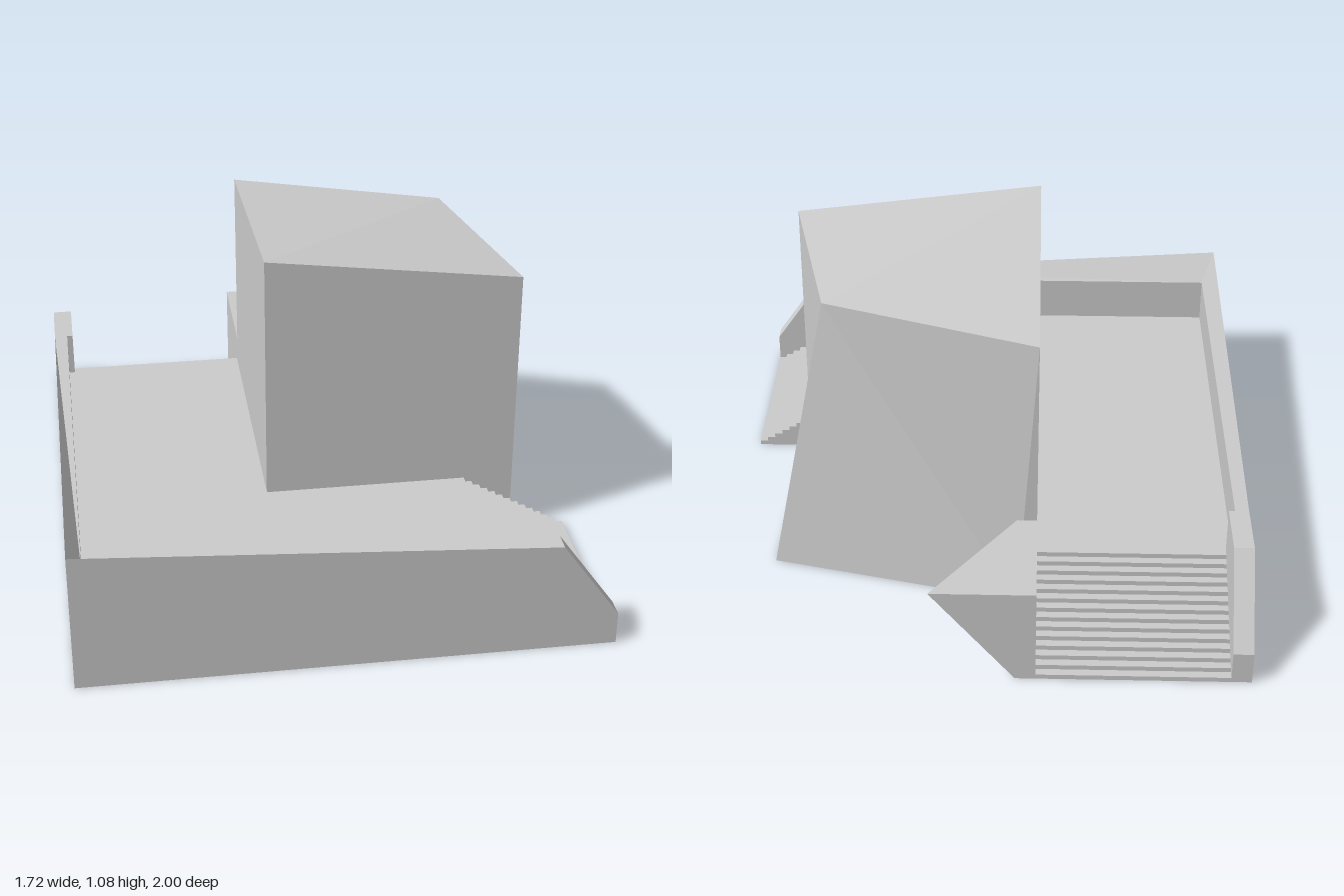
import * as THREE from 'three';

const material = new THREE.MeshStandardMaterial({ color: 0xcccccc, flatShading: true });

// Flat-sided solid from named corners and faces spelled as corner letters.
function facetedSolid(name, corners, faces) {
  const positions = [];
  for (const face of faces) {
    for (let i = 1; i < face.length - 1; i++) {
      for (const key of [face[0], face[i], face[i + 1]]) positions.push(...corners[key]);
    }
  }
  const geometry = new THREE.BufferGeometry();
  geometry.setAttribute('position', new THREE.Float32BufferAttribute(positions, 3));
  geometry.computeVertexNormals();
  const mesh = new THREE.Mesh(geometry, material);
  mesh.name = name;
  return mesh;
}

// Side profile in x/y extruded from z0 to z1.
function prism(name, points, z0, z1) {
  const shape = new THREE.Shape(points.map(([x, y]) => new THREE.Vector2(x, y)));
  const geometry = new THREE.ExtrudeGeometry(shape, { depth: z1 - z0, bevelEnabled: false });
  geometry.translate(0, 0, z0);
  const mesh = new THREE.Mesh(geometry, material);
  mesh.name = name;
  return mesh;
}

// Stepped profile descending along +x from the platform height.
function stairProfile(start, end, height, steps) {
  const points = [[start, 0], [end, 0]];
  const run = (end - start) / steps;
  for (let i = 0; i < steps; i++) {
    const y = (height * (i + 1)) / steps;
    points.push([end - i * run, y], [end - (i + 1) * run, y]);
  }
  return points;
}

// Parapet end that slopes down beside a stair.
const wingProfile = (start, knee, end) =>
  [[start, 0], [end, 0], [end, 0.11], [knee, 0.38], [start, 0.38]];

export function createModel() {
  const model = new THREE.Group();
  const deck = 0.225;

  // Raised platform (outline in x and -z, extruded upward)
  const platform = prism('platform', [
    [-0.815, -0.935], [0.47, -0.935], [0.47, -0.32], [-0.18, -0.32], [-0.18, 0.61], [-0.815, 0.61],
  ], 0, deck);
  platform.rotation.x = -Math.PI / 2;
  model.add(platform);

  // Parapet along the front and the side, rising to the shared corner
  model.add(facetedSolid('parapet', {
    A: [-0.86, 0.48, 1], a: [-0.86, 0, 1],
    B: [-0.86, 0.38, -0.61], b: [-0.86, 0, -0.61],
    C: [-0.815, 0.38, 0.935], c: [-0.815, 0, 0.935],
    D: [-0.815, 0.38, -0.61], d: [-0.815, 0, -0.61],
    E: [0.665, 0.38, 1], e: [0.665, 0, 1],
    F: [0.665, 0.38, 0.935], f: [0.665, 0, 0.935],
  }, ['baAB', 'aeEA', 'ACB', 'BCD', 'AEC', 'CEF', 'cdDC', 'fcCF', 'dbBD', 'abdc', 'acfe']));

  // Front stair, descending to the side, with its parapet end
  model.add(prism('frontStair', stairProfile(0.47, 0.855, deck, 14), 0.32, 0.935));
  model.add(prism('frontParapetEnd', wingProfile(0.665, 0.665, 0.855), 0.935, 1));

  // Back stair and its parapet end, turned to descend toward the rear
  const backStair = new THREE.Group();
  backStair.name = 'backStairGroup';
  backStair.rotation.y = Math.PI / 2;
  backStair.add(prism('backStair', stairProfile(0.61, 1, deck, 14), -0.795, -0.18));
  backStair.add(prism('backParapetEnd', wingProfile(0.61, 0.81, 1), -0.86, -0.795));
  model.add(backStair);

  // Tower with a tilted roof and a leaning rear corner
  model.add(facetedSolid('tower', {
    A: [-0.18, 1.083, 0.318], a: [-0.18, 0, 0.318],
    B: [0.665, 0.975, 0.318], b: [0.665, 0, 0.318],
    C: [0.518, 0.975, -0.343], c: [0.71, 0, -0.403],
    D: [-0.18, 0.975, -0.605], d: [-0.18, 0, -0.605],
    e: [-0.115, 0, -0.605],
  }, ['abBA', 'bCB', 'bcC', 'ceC', 'eDC', 'edD', 'daAD', 'ABC', 'ACD', 'adecb']));

  // Flaring buttress beside the back stair
  const top = 0.327;
  model.add(facetedSolid('buttress', {
    P: [-0.18, top, -1], p: [-0.18, 0, -1],
    Q: [0.155, top, -1], q: [-0.115, 0, -1],
    R: [-0.115, top, -0.605], r: [-0.115, 0, -0.605],
    S: [-0.18, top, -0.605], s: [-0.18, 0, -0.605],
  }, ['qpPQ', 'psSP', 'rqQ', 'rQR', 'SRQP', 'pqrs']));

  return model;
}
